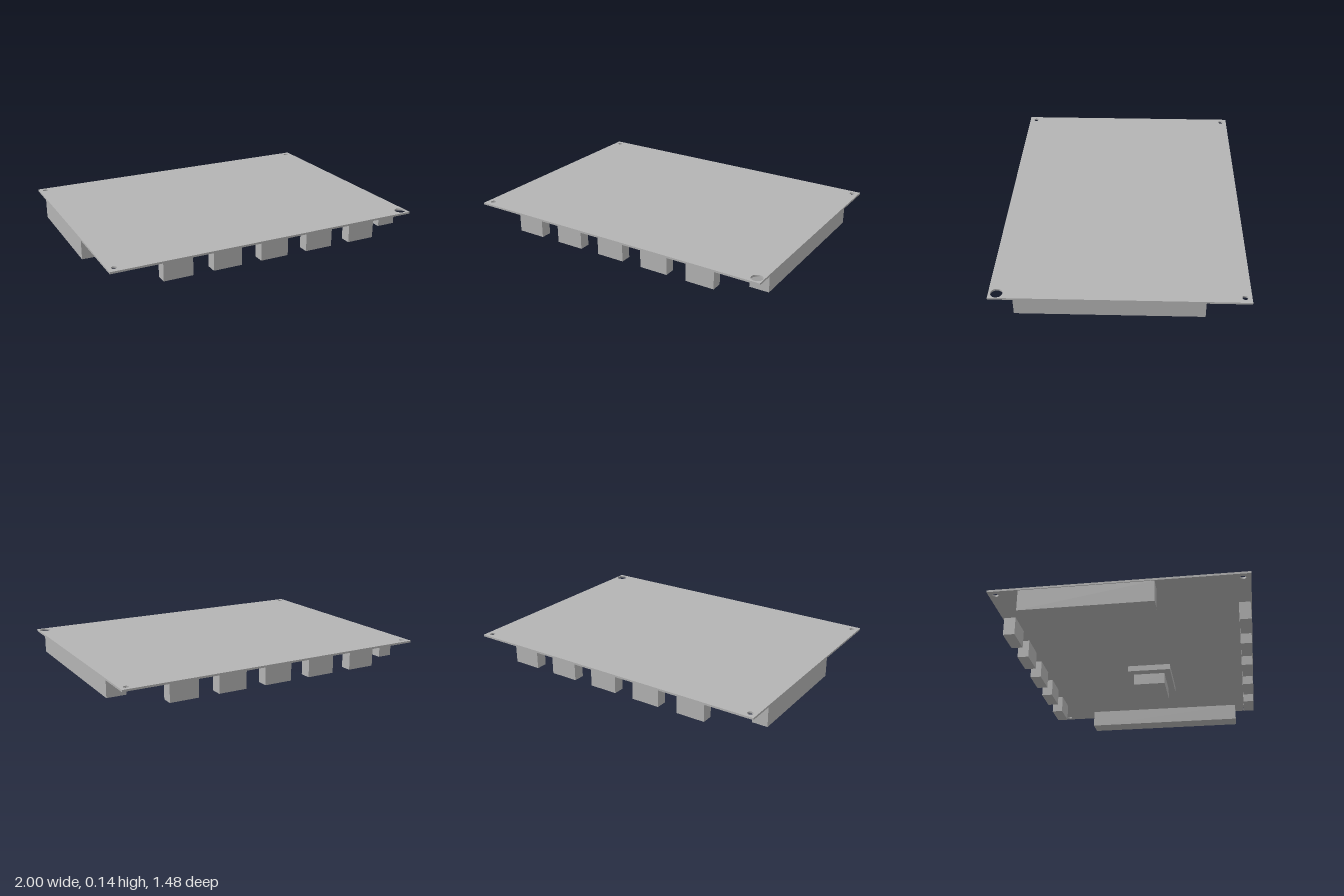
import * as THREE from 'three';

const BOARD_TOP = 0.14, BOARD_BOTTOM = 0.128;

export function createModel() {
  const model = new THREE.Group();
  model.name = 'circuitBoard';

  const grey = new THREE.MeshStandardMaterial({ color: 0xb4b4b4 });
  grey.name = 'plainGrey';

  // box given by its extents on each axis
  function addBox(name, x0, x1, y0, y1, z0, z1) {
    const mesh = new THREE.Mesh(new THREE.BoxGeometry(x1 - x0, y1 - y0, z1 - z0), grey);
    mesh.position.set((x0 + x1) / 2, (y0 + y1) / 2, (z0 + z1) / 2);
    mesh.name = name;
    model.add(mesh);
  }

  // thin board with a mounting hole in each corner (shape y becomes -z)
  const outline = new THREE.Shape();
  outline.moveTo(-1, -0.74).lineTo(1, -0.74).lineTo(1, 0.74).lineTo(-1, 0.74).closePath();
  const holes = [[-0.96, -0.7, 0.017], [0.96, -0.7, 0.017], [-0.96, 0.695, 0.017], [0.96, 0.693, 0.035]];
  for (const [x, z, radius] of holes) {
    const hole = new THREE.Path();
    hole.absarc(x, -z, radius, 0, Math.PI * 2, true);
    outline.holes.push(hole);
  }
  const boardGeometry = new THREE.ExtrudeGeometry(outline, {
    depth: BOARD_TOP - BOARD_BOTTOM, bevelEnabled: false, curveSegments: 16,
  });
  boardGeometry.rotateX(-Math.PI / 2).translate(0, BOARD_BOTTOM, 0);
  const board = new THREE.Mesh(boardGeometry, grey);
  board.name = 'board';
  model.add(board);

  // five connectors hanging under the front edge and five under the back edge
  for (let i = 0; i < 5; i++) {
    const x = -0.602 + i * 0.308;
    addBox('frontConnector' + (i + 1), x - 0.09, x + 0.09, 0.016, BOARD_BOTTOM, 0.665, 0.733);
    addBox('backConnector' + (i + 1), x - 0.09, x + 0.09, 0.016, BOARD_BOTTOM, -0.73, -0.66);
  }

  // long connectors along the sides
  addBox('leftLongConnector', 0.87, 0.99, 0.016, BOARD_BOTTOM, -0.485, 0.6);
  addBox('rightLongConnector', -0.995, -0.9, 0, BOARD_BOTTOM, -0.56, 0.213);

  // stepped processor on the underside
  addBox('processorBase', 0.08, 0.465, 0.09, BOARD_BOTTOM, -0.1, 0.185);
  addBox('processorBlock', 0.138, 0.413, 0.016, 0.09, -0.068, 0.142);

  return model;
}
